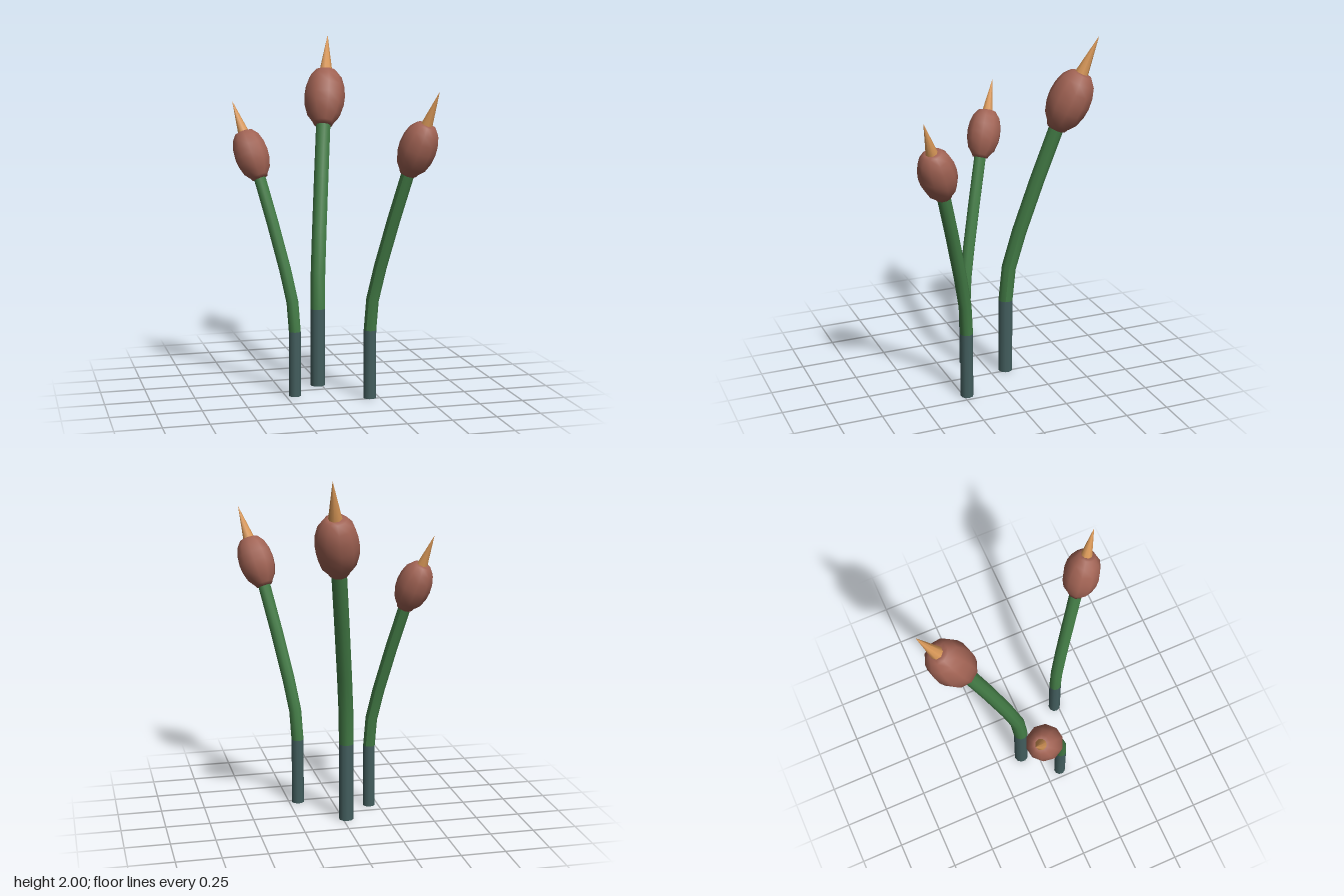
import * as THREE from 'three';

const paint = (name, color) => {
  const m = new THREE.MeshStandardMaterial({ color });
  m.name = name;
  return m;
};

const SIDES = 10;
const LEAN = 0.41; // tilt of the seed head, radians
const STEM_R = 0.042;

// Stem rings: [sideways offset, height, tilt]
const RINGS = [
  [0, 0.45, 0], [0.018, 0.65, 0.18], [0.076, 0.87, 0.29],
  [0.174, 1.18, 0.32], [0.29, 1.52, 0.36],
];

// Straight tube whose rings are shifted and tilted along the bend
function stemGeometry() {
  const geo = new THREE.LatheGeometry(RINGS.map(r => new THREE.Vector2(STEM_R, r[1])), SIDES);
  const pos = geo.attributes.position;
  for (let i = 0; i < pos.count; i++) {
    const [shift, y, tilt] = RINGS[i % RINGS.length];
    const x = pos.getX(i);
    pos.setXY(i, shift + x * Math.cos(tilt), y - x * Math.sin(tilt));
  }
  geo.computeVertexNormals();
  return geo;
}

// Plump barrel with a small collar below and a flat crown on top
function headGeometry() {
  const profile = [
    [0, -0.172], [0.054, -0.172], [0.064, -0.152], [0.096, -0.112], [0.115, -0.05],
    [0.12, 0.005], [0.114, 0.065], [0.096, 0.122], [0.062, 0.164], [0.04, 0.17], [0, 0.17],
  ];
  return new THREE.LatheGeometry(profile.map(p => new THREE.Vector2(...p)), SIDES);
}

export function createModel() {
  const model = new THREE.Group();
  model.name = 'reeds';

  const mats = {
    sheath: paint('dark teal', 0x435e5e),
    stem: paint('leaf green', 0x437c46),
    head: paint('reddish brown', 0xa06253),
    spike: paint('light orange', 0xd99858),
  };
  const geos = {
    sheath: new THREE.CylinderGeometry(STEM_R, STEM_R, 0.45, SIDES).translate(0, 0.225, 0),
    stem: stemGeometry(),
    head: headGeometry(),
    spike: new THREE.ConeGeometry(0.039, 0.235, 8).translate(0, 0.2755, 0),
  };

  // One reed leaning towards (dx, dz)
  function addReed(name, x, z, dx, dz, scale) {
    const reed = new THREE.Group();
    reed.name = name;
    const top = new THREE.Group();
    top.name = 'seedHead';
    top.position.set(0.343, 1.638, 0);
    top.rotation.z = -LEAN;
    for (const part of ['sheath', 'stem', 'head', 'spike']) {
      const mesh = new THREE.Mesh(geos[part], mats[part]);
      mesh.name = part;
      (part === 'head' || part === 'spike' ? top : reed).add(mesh);
    }
    reed.add(top);
    reed.position.set(x, 0, z);
    reed.rotation.y = Math.atan2(-dz, dx);
    reed.scale.setScalar(scale);
    model.add(reed);
  }

  addReed('tallReed', -0.02, -0.096, 0.18, -0.465, 1);
  addReed('leftReed', 0.197, 0.23, 0.277, 0.33, 0.86);
  addReed('rightReed', -0.198, 0.088, -0.287, -0.293, 0.82);
  return model;
}
